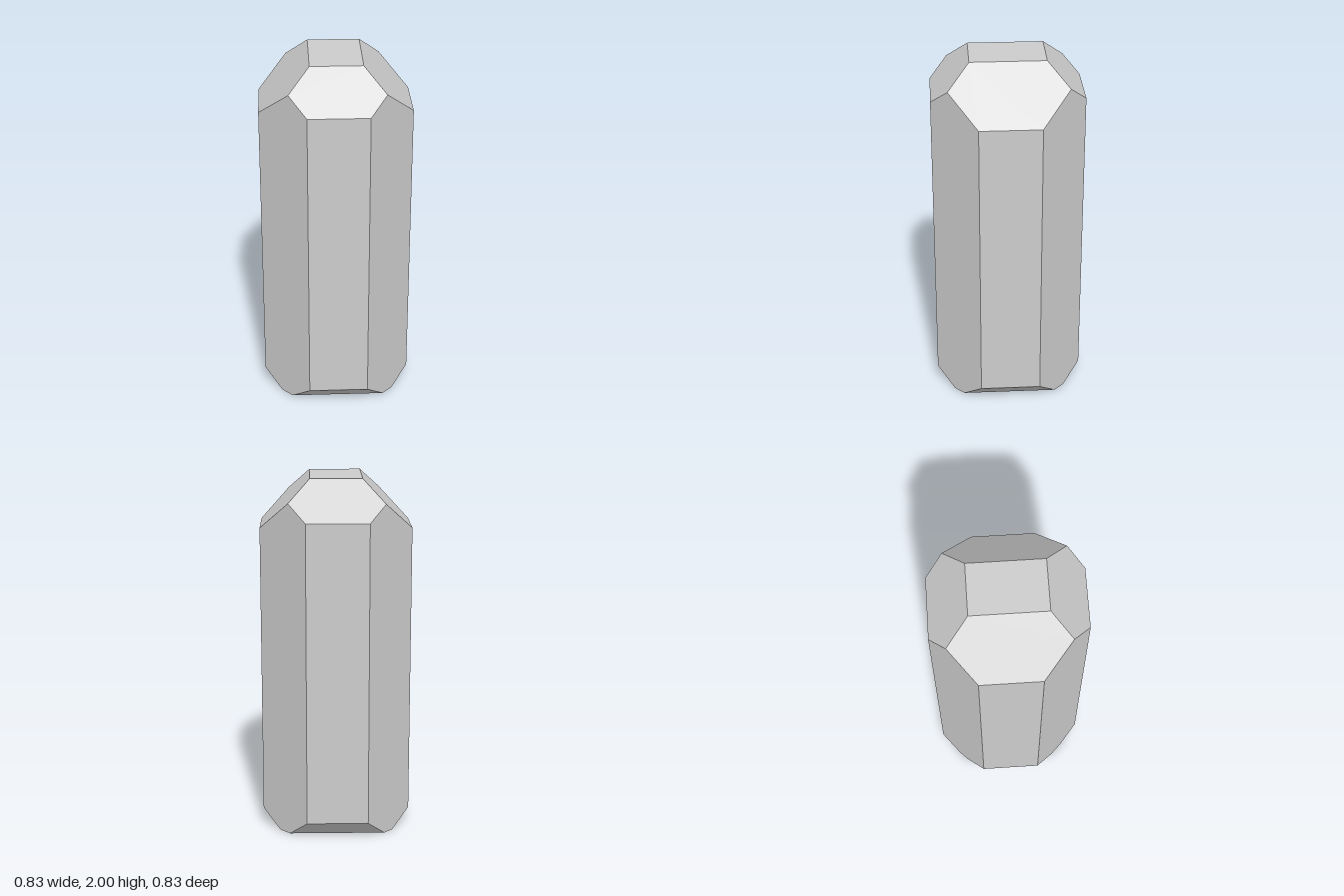
import * as THREE from 'three';
import { ConvexGeometry } from 'three/addons/geometries/ConvexGeometry.js';

const HALF = 0.417;              // half width of the octagonal shaft
const BASE = 0.32;               // half width of the flat base
const TOP_X = 0.143, TOP_Z = 0.207, HEIGHT = 2; // flat table on top

// Corner points of one quadrant; the vertical diagonal facet lies on |x| + |z| = d
function quadrant(sx, sz, d) {
  const ridgeX = (d + TOP_X - TOP_Z) / 2;
  return [
    // base and lower bevel
    [BASE, 0, d - BASE], [d - BASE, 0, BASE],
    [HALF, HALF - BASE, d - HALF], [d - HALF, HALF - BASE, HALF],
    // 45 degree crown facets
    [HALF, HEIGHT + TOP_X - HALF, d - HALF],
    [d - HALF, HEIGHT + TOP_Z - HALF, HALF],
    [ridgeX, HEIGHT + TOP_X - ridgeX, d - ridgeX],
    // table
    [TOP_X, HEIGHT, TOP_Z],
  ].map(([x, y, z]) => new THREE.Vector3(sx * x, y, sz * z));
}

export function createModel() {
  const group = new THREE.Group();
  group.name = 'crystal';

  // Faceted crystal body, its corners cut by slightly different amounts
  const points = [
    ...quadrant(1, 1, 0.587), ...quadrant(-1, 1, 0.579),
    ...quadrant(1, -1, 0.584), ...quadrant(-1, -1, 0.592),
  ];
  const body = new THREE.Mesh(
    new ConvexGeometry(points),
    new THREE.MeshStandardMaterial({ color: 0xcccccc, flatShading: true })
  );
  body.name = 'crystalBody';
  group.add(body);
  return group;
}
